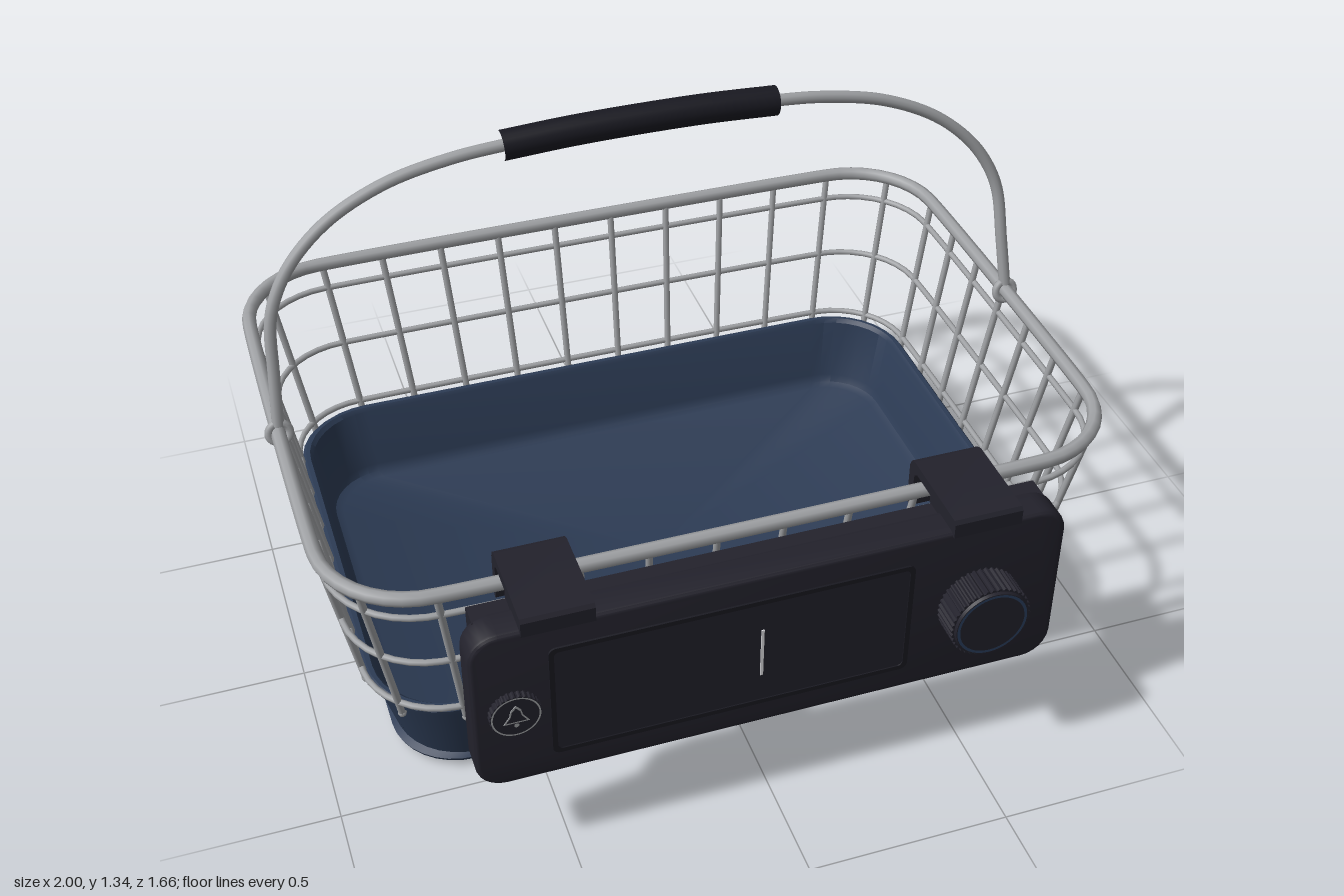
import * as THREE from 'three';
import { toCreasedNormals } from 'three/addons/utils/BufferGeometryUtils.js';

const material = (name, color, side = THREE.FrontSide) => {
  const m = new THREE.MeshStandardMaterial({ color, side });
  m.name = name;
  return m;
};

const CZ = -0.125; // basket centre in z

// Point loop of a rounded rectangle in the xz plane
function outline(hx, hz, r, y, n = 8) {
  const pts = [];
  [[1, 1], [-1, 1], [-1, -1], [1, -1]].forEach(([sx, sz], q) => {
    for (let i = 0; i <= n; i++) {
      const a = (q + i / n) * Math.PI / 2;
      pts.push(new THREE.Vector3(sx * (hx - r) + r * Math.cos(a), y, sz * (hz - r) + r * Math.sin(a)));
    }
  });
  return pts;
}

// Skin through a list of [hx, hz, r, y] rings
function loft(rings) {
  const pos = [], idx = [];
  const loops = rings.map(r => outline(...r));
  const n = loops[0].length;
  loops.flat().forEach(p => pos.push(p.x, p.y, p.z));
  for (let k = 0; k < loops.length - 1; k++) {
    for (let j = 0; j < n; j++) {
      const a = k * n + j, b = k * n + (j + 1) % n;
      idx.push(a, a + n, b, b, a + n, b + n);
    }
  }
  const g = new THREE.BufferGeometry();
  g.setAttribute('position', new THREE.Float32BufferAttribute(pos, 3));
  g.setIndex(idx);
  return toCreasedNormals(g, 0.6);
}

function roundedRect(cx, cy, hx, hy, r, T = THREE.Shape) {
  return new T(outline(hx, hy, r, 0, 6).map(p => new THREE.Vector2(cx + p.x, cy + p.z)));
}

// Plate from a front-view shape between two z values
function plate(shape, z0, z1, bevel = 0) {
  const g = new THREE.ExtrudeGeometry(shape, {
    depth: z1 - z0 - 2 * bevel, bevelEnabled: bevel > 0, bevelThickness: bevel,
    bevelSize: bevel, bevelOffset: -bevel, bevelSegments: 3, curveSegments: 16
  });
  g.translate(0, 0, z0 + bevel);
  return toCreasedNormals(g, 0.6);
}

// Extrude a [z, y] side profile along x
function sideProfile(points, x0, x1) {
  const shape = new THREE.Shape(points.map(([z, y]) => new THREE.Vector2(-z, y)));
  const g = new THREE.ExtrudeGeometry(shape, { depth: x1 - x0, bevelEnabled: false });
  g.rotateY(Math.PI / 2).translate(x0, 0, 0);
  return toCreasedNormals(g, 0.6);
}

// Ribbed disc shape
function gear(cx, cy, r, depth, teeth) {
  const pts = [];
  for (let i = 0; i < teeth * 4; i++) {
    const a = i / (teeth * 4) * Math.PI * 2, q = i % 4 < 2 ? r : r - depth;
    pts.push(new THREE.Vector2(cx + q * Math.cos(a), cy + q * Math.sin(a)));
  }
  return new THREE.Shape(pts);
}

export function createModel() {
  const navy = material('navy plastic', 0x2c3b54);
  const metal = material('brushed metal', 0xa0a2a5);
  const dark = material('dark plastic', 0x23222c);
  const black = material('black rubber', 0x191921);
  const white = material('white mark', 0xe4e4e8);
  const blue = material('blue ring', 0x2a3f5e);

  const model = new THREE.Group();
  const add = (name, geo, mat, parent = model) => {
    const m = new THREE.Mesh(geo, mat);
    m.name = name;
    parent.add(m);
    return m;
  };

  const basket = new THREE.Group();
  basket.name = 'basket';
  basket.position.z = CZ;
  model.add(basket);

  // Tub: underside, beaded outer wall, lip, inner wall and floor
  add('tub', loft([
    [0, 0, 0, 0.012], [0.805, 0.55, 0.16, 0.012], [0.822, 0.562, 0.17, 0.018], [0.825, 0.565, 0.17, 0.027],
    [0.812, 0.555, 0.17, 0.036], [0.863, 0.598, 0.2, 0.225], [0.876, 0.61, 0.2, 0.232], [0.878, 0.612, 0.2, 0.245],
    [0.87, 0.604, 0.2, 0.255], [0.858, 0.592, 0.18, 0.255], [0.85, 0.585, 0.18, 0.245],
    [0.82, 0.56, 0.16, 0.075], [0.81, 0.55, 0.15, 0.055], [0.79, 0.535, 0.14, 0.045], [0, 0, 0, 0.045]
  ]), navy, basket);

  for (const x of [-0.58, 0.58]) for (const z of [-0.345, 0.345]) {
    add('foot', new THREE.CylinderGeometry(0.045, 0.042, 0.02, 24), black, basket).position.set(x, 0.01, z);
  }

  // Wire cage: flared from the tub lip to the rim
  const size = y => [0.876 + (y - 0.22) * 0.18, 0.61 + (y - 0.22) * 0.16, 0.2 + (y - 0.22) * 0.06];
  const hoop = (name, y, radius) => {
    const path = new THREE.CatmullRomCurve3(outline(...size(y), y), true);
    add(name, new THREE.TubeGeometry(path, 160, radius, 8, true), metal, basket);
  };
  hoop('rim', 0.69, 0.018);
  for (const y of [0.265, 0.45, 0.62]) hoop('hoop', y, 0.008);

  const rod = (at) => {
    const a = at(0.22), b = at(0.69), d = b.clone().sub(a);
    const m = add('uprightWire', new THREE.CylinderGeometry(0.009, 0.009, d.length(), 8), metal, basket);
    m.position.copy(a).lerp(b, 0.5);
    m.quaternion.setFromUnitVectors(new THREE.Vector3(0, 1, 0), d.normalize());
    add('wireEnd', new THREE.SphereGeometry(0.011, 8, 6), metal, basket).position.copy(a);
  };
  for (const s of [-1, 1]) {
    for (let i = 0; i < 10; i++) rod(y => {
      const [hx, hz, r] = size(y);
      return new THREE.Vector3((hx - r) * (i / 4.5 - 1), y, s * hz);
    });
    for (let i = 0; i < 7; i++) rod(y => {
      const [hx, hz, r] = size(y);
      return new THREE.Vector3(s * hx, y, (hz - r) * (i / 3 - 1));
    });
    for (const t of [-1, 1]) rod(y => {
      const [hx, hz, r] = size(y), k = r * (1 - Math.SQRT1_2);
      return new THREE.Vector3(s * (hx - k), y, t * (hz - k));
    });
  }

  // Swinging handle, leaning back, with loops round the rim
  const handle = new THREE.Group();
  handle.name = 'handle';
  handle.position.set(0, 0.69, -0.118);
  handle.rotation.x = -0.215;
  model.add(handle);
  const half = [[0.962, 0.02], [0.952, 0.15], [0.94, 0.285], [0.915, 0.355], [0.865, 0.43], [0.77, 0.512],
    [0.63, 0.577], [0.475, 0.61], [0.34, 0.622]];
  const bow = [...half, [0, 0.632], ...half.map(([x, y]) => [-x, y]).reverse()];
  const curve = p => new THREE.CatmullRomCurve3(p.map(([x, y]) => new THREE.Vector3(x, y, 0)));
  add('handleWire', new THREE.TubeGeometry(curve(bow), 120, 0.015, 10), metal, handle);
  add('grip', new THREE.TubeGeometry(curve([[0.345, 0.622], [0.17, 0.63], [0, 0.632], [-0.17, 0.63], [-0.345, 0.622]]),
    24, 0.037, 20), black, handle);
  for (const s of [-1, 1]) {
    add('handleLoop', new THREE.TorusGeometry(0.026, 0.01, 8, 24), metal, handle).position.set(s * 0.962, 0, 0);
  }

  // Front control unit
  const unit = new THREE.Group();
  unit.name = 'controlUnit';
  model.add(unit);
  add('unitBody', plate(roundedRect(0, 0.47, 0.71, 0.23, 0.07), 0.655, 0.738, 0.012), dark, unit);
  add('unitBack', sideProfile([[0.67, 0.46], [0.67, 0.69], [0.615, 0.69], [0.608, 0.68], [0.608, 0.56], [0.615, 0.535], [0.655, 0.47]],
    -0.68, 0.68), dark, unit);

  // Hooks over the rim
  for (const x of [-0.507, 0.503]) {
    add('hook', sideProfile([[0.745, 0.69], [0.745, 0.728], [0.738, 0.737], [0.52, 0.737], [0.503, 0.73], [0.495, 0.712],
      [0.495, 0.61], [0.505, 0.595], [0.517, 0.605], [0.522, 0.7], [0.535, 0.71], [0.61, 0.71], [0.61, 0.69]],
    x - 0.084, x + 0.084), dark, unit);
  }

  // Display with thin frame and centre mark
  const frame = roundedRect(-0.1, 0.47, 0.432, 0.162, 0.018);
  frame.holes.push(roundedRect(-0.1, 0.47, 0.42, 0.15, 0.012, THREE.Path));
  add('displayFrame', plate(frame, 0.736, 0.743), black, unit);
  add('display', plate(roundedRect(-0.1, 0.47, 0.42, 0.15, 0.012), 0.736, 0.74), dark, unit);
  add('displayMark', new THREE.BoxGeometry(0.007, 0.14, 0.004), white, unit).position.set(-0.035, 0.47, 0.741);

  // Ribbed knob with a blue ring
  add('knob', plate(gear(0.5, 0.47, 0.1, 0.005, 40), 0.735, 0.815), dark, unit);
  add('knobCap', new THREE.CylinderGeometry(0.09, 0.094, 0.01, 40), dark, unit)
    .rotateX(Math.PI / 2).position.set(0.5, 0.47, 0.817);
  add('knobRing', new THREE.RingGeometry(0.081, 0.088, 40), blue, unit).position.set(0.5, 0.47, 0.8225);

  // Bell button
  add('bellButton', plate(gear(-0.615, 0.47, 0.06, 0.003, 28), 0.735, 0.757), dark, unit);
  add('bellRing', new THREE.RingGeometry(0.053, 0.057, 40), metal, unit).position.set(-0.615, 0.47, 0.758);
  const bell = k => [[-0.03, -0.018], [-0.016, 0.002], [-0.012, 0.02], [0, 0.034], [0.012, 0.02], [0.016, 0.002], [0.03, -0.018]]
    .map(([x, y]) => new THREE.Vector2(-0.615 + x * k, 0.47 + y * k));
  const bellShape = new THREE.Shape(bell(1));
  bellShape.holes.push(new THREE.Path(bell(0.8)));
  add('bellSign', plate(bellShape, 0.756, 0.759), metal, unit);
  add('bellClapper', new THREE.CircleGeometry(0.006, 12), metal, unit).position.set(-0.615, 0.444, 0.7585);

  return model;
}
